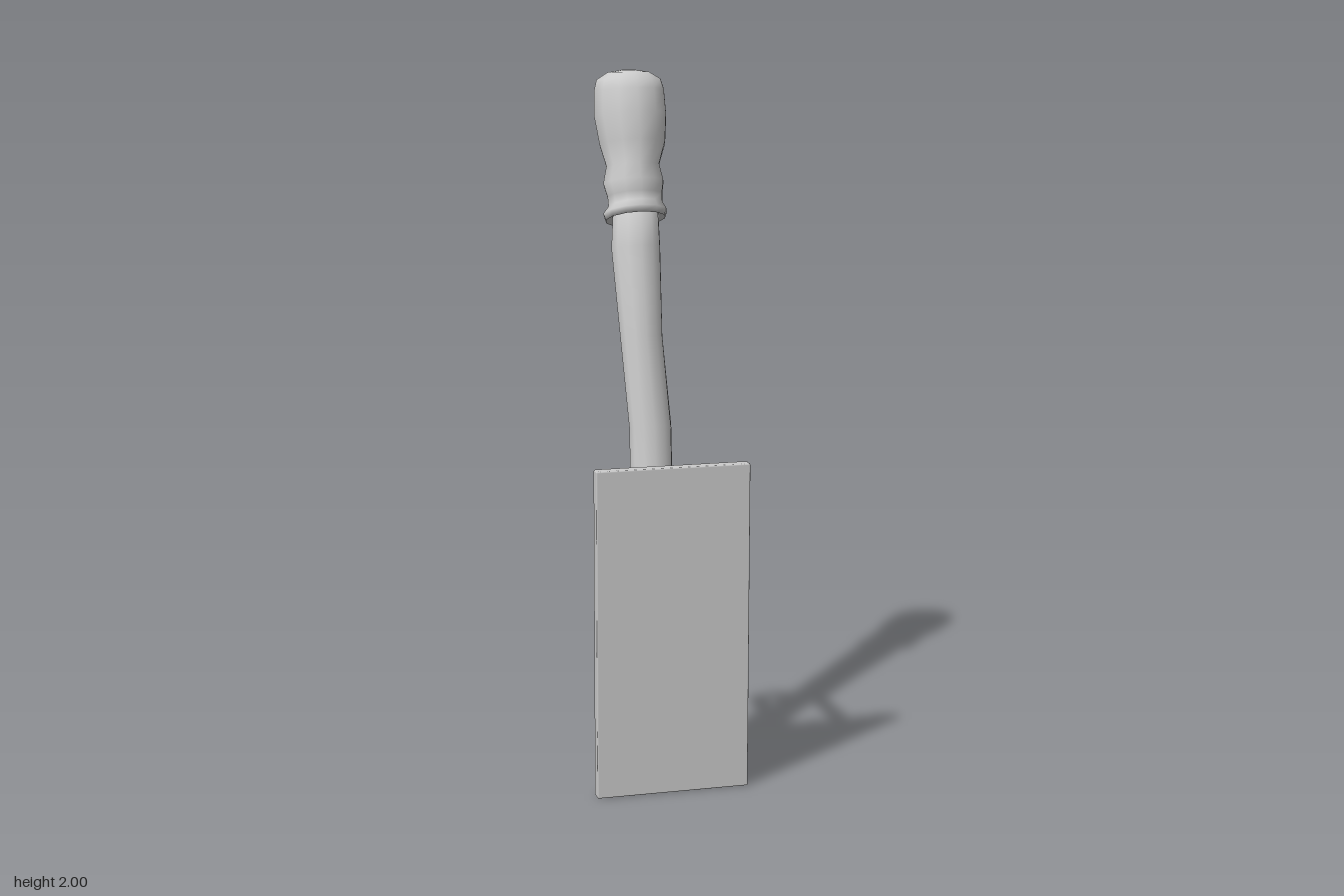
import * as THREE from 'three';
import { RoundedBoxGeometry } from 'three/addons/geometries/RoundedBoxGeometry.js';

const material = new THREE.MeshStandardMaterial({ color: 0xcccccc });

function addPart(group, name, geometry, x = 0, y = 0, z = 0) {
  const mesh = new THREE.Mesh(geometry, material);
  mesh.name = name;
  mesh.position.set(x, y, z);
  group.add(mesh);
  return mesh;
}

// Closed skin over leaning oval sections: [y, z, half width, half depth, x, lean]
function loft(sections, sides = 12) {
  const points = [], index = [];
  for (const [y, z, rx, rz, x, lean] of sections) {
    for (let i = 0; i < sides; i++) {
      const a = (i / sides) * Math.PI * 2;
      const u = Math.cos(a) * rz;
      points.push(x + Math.sin(a) * rx, y + u * Math.sin(lean), z + u * Math.cos(lean));
    }
  }
  for (let s = 0; s < sections.length - 1; s++) {
    for (let i = 0; i < sides; i++) {
      const a = s * sides + i, b = s * sides + (i + 1) % sides;
      index.push(a, b, b + sides, a, b + sides, a + sides);
    }
  }
  // Caps
  const last = sections.length - 1;
  for (const [s, flip] of [[0, true], [last, false]]) {
    const [y, z, , , x] = sections[s];
    const centre = points.length / 3;
    points.push(x, y, z);
    for (let i = 0; i < sides; i++) {
      const a = s * sides + i, b = s * sides + (i + 1) % sides;
      if (flip) index.push(centre, b, a);
      else index.push(centre, a, b);
    }
  }
  const geometry = new THREE.BufferGeometry();
  geometry.setAttribute('position', new THREE.Float32BufferAttribute(points, 3));
  geometry.setIndex(index);
  geometry.computeVertexNormals();
  return geometry;
}

export function createModel() {
  const model = new THREE.Group();
  model.name = 'wallTorch';

  // Wall plate and the shelf that carries the foot of the torch
  addPart(model, 'wallPlate', new RoundedBoxGeometry(0.44, 0.94, 0.036, 1, 0.004), 0, 0.47, 0.293);
  addPart(model, 'footShelf', new RoundedBoxGeometry(0.2, 0.022, 0.18, 1, 0.003), 0, 0.095, 0.188);

  // Corner bolts
  for (const x of [-0.175, 0.175]) {
    for (const y of [0.04, 0.9]) {
      const bolt = addPart(model, 'bolt', new THREE.CylinderGeometry(0.022, 0.022, 0.02, 10), x, y, 0.268);
      bolt.rotation.x = Math.PI / 2;
    }
  }

  // U-shaped holder with clipped corners, drawn in plan (x, -z)
  const holder = new THREE.Shape([
    [0.115, -0.278], [0.115, 0.04], [0.065, 0.06], [-0.065, 0.06], [-0.115, 0.04], [-0.115, -0.278],
    [-0.075, -0.278], [-0.075, 0.005], [-0.05, 0.02], [0.05, 0.02], [0.075, 0.005], [0.075, -0.278],
  ].map(([x, y]) => new THREE.Vector2(x, y)));
  const holderGeometry = new THREE.ExtrudeGeometry(holder, { depth: 0.03, bevelEnabled: false });
  holderGeometry.rotateX(-Math.PI / 2);
  addPart(model, 'holder', holderGeometry, 0, 0.825, 0);

  // Wooden shaft, slightly crooked
  addPart(model, 'shaft', loft([
    [0.112, 0.2, 0.045, 0.05, 0.005, 0.1],
    [0.13, 0.206, 0.062, 0.067, 0.005, 0.12],
    [0.2, 0.196, 0.068, 0.073, 0.005, 0.15],
    [0.26, 0.182, 0.06, 0.062, 0, 0.2],
    [0.4, 0.145, 0.062, 0.061, 0.003, 0.25],
    [0.6, 0.1, 0.064, 0.065, 0.005, 0.25],
    [0.77, 0.057, 0.062, 0.056, 0.003, 0.22],
    [1.0, 0.022, 0.062, 0.051, 0.007, 0.2],
    [1.25, -0.03, 0.062, 0.061, -0.006, 0.25],
    [1.5, -0.09, 0.072, 0.067, -0.007, 0.25],
    [1.62, -0.12, 0.066, 0.058, 0, 0.3],
  ]));

  // Cloth head: flared hem, gathered folds, bulging top
  addPart(model, 'wrappedHead', loft([
    [1.595, -0.115, 0.062, 0.058, 0, 0.38],
    [1.58, -0.11, 0.087, 0.082, -0.003, 0.38],
    [1.598, -0.113, 0.094, 0.088, -0.003, 0.38],
    [1.618, -0.12, 0.08, 0.079, 0, 0.36],
    [1.645, -0.127, 0.081, 0.077, 0, 0.32],
    [1.682, -0.133, 0.089, 0.088, -0.003, 0.28],
    [1.73, -0.153, 0.078, 0.082, 0, 0.2],
    [1.79, -0.168, 0.097, 0.096, 0.003, 0.25],
    [1.87, -0.19, 0.107, 0.103, 0.002, 0.22],
    [1.94, -0.208, 0.104, 0.1, 0.003, 0.15],
    [1.972, -0.213, 0.095, 0.09, 0.003, 0.08],
    [1.993, -0.204, 0.062, 0.06, 0, 0.06],
    [2.0, -0.2, 0.02, 0.02, 0, 0],
  ]));

  return model;
}
